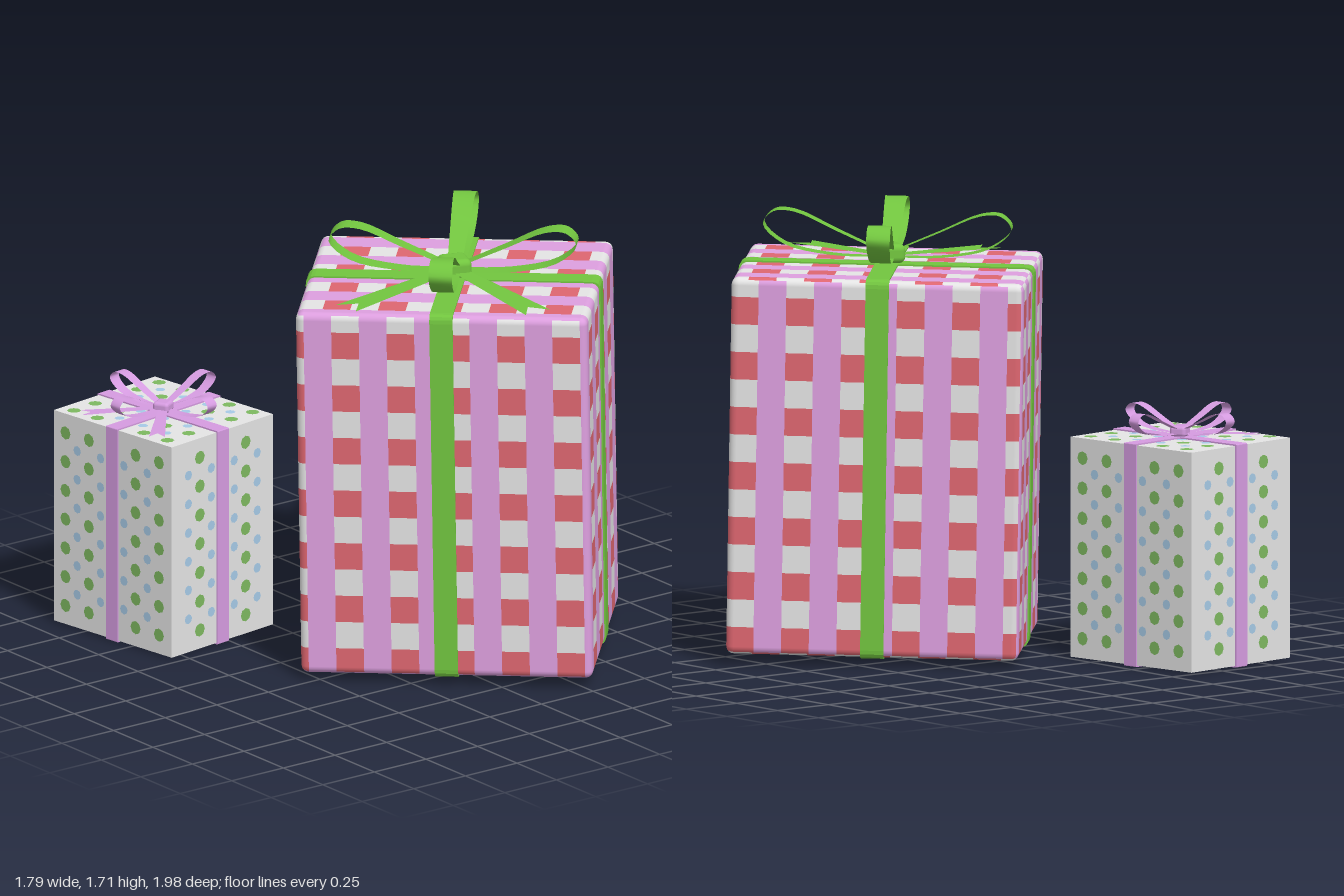
import * as THREE from 'three';
import { mergeGeometries } from 'three/addons/utils/BufferGeometryUtils.js';
import { RoundedBoxGeometry } from 'three/addons/geometries/RoundedBoxGeometry.js';

const mat = (name, color, side = THREE.FrontSide) => {
  const m = new THREE.MeshStandardMaterial({ color, side });
  m.name = name;
  return m;
};
const V = (x, y, z) => new THREE.Vector3(x, y, z);
const X = V(1, 0, 0), Y = V(0, 1, 0), Z = V(0, 0, 1);
const neg = v => v.clone().negate();

// The six sides of a box: across and up directions, outward normal,
// and where the plaid gaps (s0) and the coloured checks (t0) start
const SIDES = [
  { u: X, v: Y, n: Z, s0: 0.139, t0: 0 },
  { u: neg(Z), v: Y, n: X, s0: 0.06, t0: 0 },
  { u: neg(X), v: Y, n: neg(Z), s0: 0, t0: 0 },
  { u: Z, v: Y, n: neg(X), s0: 0.045, t0: 0 },
  { u: Z, v: X, n: Y, s0: 0.146, t0: 0.1 },
  { u: Z, v: neg(X), n: neg(Y), s0: 0.146, t0: 0.1 },
];
const CHECK = 0.107;

function add(parent, name, geometry, material) {
  const mesh = new THREE.Mesh(geometry, material);
  mesh.name = name;
  parent.add(mesh);
  return mesh;
}

// Grid lines across a side: check borders plus lines that round the edges
function gridLines(len, start, r) {
  const lines = [0, r * 0.3, r * 0.65, r, len - r, len - r * 0.65, len - r * 0.3, len];
  for (let s = start - 2 * CHECK; s < len; s += CHECK) if (s > 0) lines.push(s);
  return lines.sort((a, b) => a - b);
}
const inFirstHalf = (s, s0) => (((s - s0) / CHECK) % 2 + 2) % 2 < 1;

// Round-edged box whose faces follow the plaid grid, one mesh per colour
function plaidBox(size, r, materials) {
  const half = size.clone().multiplyScalar(0.5);
  const inner = half.clone().subScalar(r);
  const lists = materials.map(() => ({ pos: [], nor: [] }));
  for (const { u, v, n, s0, t0 } of SIDES) {
    const hu = Math.abs(u.dot(half)), hv = Math.abs(v.dot(half)), hn = Math.abs(n.dot(half));
    const us = gridLines(hu * 2, s0, r), vs = gridLines(hv * 2, t0, r);
    const corner = (s, t) => {
      const p = V(0, 0, 0).addScaledVector(u, s - hu).addScaledVector(v, t - hv).addScaledVector(n, hn);
      const core = p.clone().clamp(neg(inner), inner);
      const normal = p.sub(core).normalize();
      return { p: core.addScaledVector(normal, r), normal };
    };
    for (let i = 0; i < us.length - 1; i++) for (let j = 0; j < vs.length - 1; j++) {
      const [a, b, c, d] = [us[i], us[i + 1], vs[j], vs[j + 1]];
      if (b - a < 1e-5 || d - c < 1e-5) continue;
      const gap = inFirstHalf((a + b) / 2, s0), red = inFirstHalf((c + d) / 2, t0);
      const list = lists[!gap ? 0 : red ? 1 : 2];
      const q = [corner(a, c), corner(b, c), corner(b, d), corner(a, d)];
      for (const k of [0, 1, 2, 0, 2, 3]) {
        list.pos.push(...q[k].p.toArray());
        list.nor.push(...q[k].normal.toArray());
      }
    }
  }
  const group = new THREE.Group();
  group.name = 'plaidBox';
  lists.forEach(({ pos, nor }, i) => {
    const g = new THREE.BufferGeometry();
    g.setAttribute('position', new THREE.Float32BufferAttribute(pos, 3));
    g.setAttribute('normal', new THREE.Float32BufferAttribute(nor, 3));
    add(group, ['pinkStripes', 'redChecks', 'whiteChecks'][i], g, materials[i]);
  });
  return group;
}

// White box with staggered dots of two colours on every side
function dottedBox(size, paper, dotMats) {
  const group = new THREE.Group();
  group.name = 'dottedBox';
  add(group, 'paper', new THREE.BoxGeometry(size.x, size.y, size.z), paper);
  const half = size.clone().multiplyScalar(0.5);
  const sx = 0.126, sy = 0.117;
  dotMats.forEach((material, kind) => {
    const radius = kind ? 0.02 : 0.027, dots = [];
    for (const { u, v, n } of SIDES) {
      const hu = Math.abs(u.dot(half)), hv = Math.abs(v.dot(half)), hn = Math.abs(n.dot(half));
      const basis = new THREE.Matrix4().makeBasis(u, v, n);
      for (let i = -5; i <= 5; i++) for (let j = -5; j <= 5; j++) {
        const a = (i + kind / 2) * sx, b = (j + kind / 2) * sy;
        if (Math.abs(a) > hu - radius || Math.abs(b) > hv - radius) continue;
        dots.push(new THREE.CircleGeometry(radius, 8).translate(a, b, hn + 0.003).applyMatrix4(basis));
      }
    }
    add(group, kind ? 'blueDots' : 'greenDots', mergeGeometries(dots), material);
  });
  return group;
}

// Ribbon wrapped once around a box, following its rounded edges
function band(w, h, r, width) {
  const x = w / 2, y = h / 2, s = new THREE.Shape();
  s.moveTo(-x + r, -y);
  s.lineTo(x - r, -y); s.quadraticCurveTo(x, -y, x, -y + r);
  s.lineTo(x, y - r); s.quadraticCurveTo(x, y, x - r, y);
  s.lineTo(-x + r, y); s.quadraticCurveTo(-x, y, -x, y - r);
  s.lineTo(-x, -y + r); s.quadraticCurveTo(-x, -y, -x + r, -y);
  return new THREE.ExtrudeGeometry(s, { depth: width, bevelEnabled: false, curveSegments: 4 }).translate(0, 0, -width / 2);
}
function wrapping(size, r, width, material) {
  const group = new THREE.Group(), t = 0.012;
  group.name = 'wrappedRibbon';
  add(group, 'lengthwiseRibbon', band(size.x + t, size.y + t, r, width), material);
  add(group, 'crosswiseRibbon', band(size.z + t, size.y + t, r, width), material).rotation.y = Math.PI / 2;
  return group;
}

// One teardrop loop of ribbon, pointing along +x and narrowing at the knot
function loopGeometry() {
  const path = new THREE.CatmullRomCurve3([
    [0.02, 0.03], [0.22, 0.035], [0.4, 0.075], [0.48, 0.15], [0.44, 0.2], [0.36, 0.2], [0.2, 0.13], [0.02, 0.05],
  ].map(([x, y]) => V(x, y, 0)));
  const pos = [], idx = [], N = 28;
  for (let i = 0; i <= N; i++) {
    const p = path.getPoint(i / N), w = 0.028 + 0.018 * Math.sin(Math.PI * i / N);
    pos.push(p.x, p.y, w, p.x, p.y, -w);
    const k = i * 2;
    if (i < N) idx.push(k, k + 2, k + 1, k + 1, k + 2, k + 3);
  }
  const g = new THREE.BufferGeometry();
  g.setAttribute('position', new THREE.Float32BufferAttribute(pos, 3));
  g.setIndex(idx);
  g.computeVertexNormals();
  return g;
}

// Bow: four loops, two notched tails and a knot
function bow(material) {
  const group = new THREE.Group();
  group.name = 'bow';
  const loop = loopGeometry();
  for (let i = 0; i < 4; i++) add(group, 'bowLoop', loop, material).rotation.y = i * Math.PI / 2;
  const L = 0.58;
  const tail = new THREE.ShapeGeometry(new THREE.Shape(
    [[0, -0.028], [L, -0.056], [L - 0.07, 0], [L, 0.056], [0, 0.028]].map(p => new THREE.Vector2(...p)),
  )).rotateX(-Math.PI / 2);
  for (const deg of [50, 130]) {
    const m = add(group, 'bowTail', tail, material);
    m.position.y = 0.035;
    m.rotation.set(0, -THREE.MathUtils.degToRad(deg), -0.035);
  }
  const knot = add(group, 'bowKnot', new RoundedBoxGeometry(0.12, 0.075, 0.12, 3, 0.025), material);
  knot.position.y = 0.045;
  knot.rotation.y = 0.35;
  return group;
}

export function createModel() {
  const pink = mat('pinkPaper', 0xdd9fdf), red = mat('redPaper', 0xde6670), white = mat('whitePaper', 0xe4e4e4);
  const greenRibbon = mat('greenRibbon', 0x72c53f, THREE.DoubleSide);
  const lilacRibbon = mat('lilacRibbon', 0xd59be0, THREE.DoubleSide);
  const greenDot = mat('greenDot', 0x7db860), blueDot = mat('blueDot', 0xa6cae6);
  const model = new THREE.Group();
  model.name = 'gifts';

  // Large plaid gift, leaning very slightly
  const bigSize = V(1.13, 1.465, 0.955);
  const big = new THREE.Group();
  big.name = 'largeGift';
  big.add(plaidBox(bigSize, 0.03, [pink, red, white]), wrapping(bigSize, 0.035, 0.09, greenRibbon));
  const bigBow = bow(greenRibbon);
  bigBow.position.y = bigSize.y / 2;
  big.add(bigBow);
  big.position.set(0.16, 0.77, 0.255);
  big.rotation.set(-0.01, -0.76, 0.011, 'XZY');

  // Small dotted gift behind it
  const smallSize = V(0.556, 0.856, 0.636);
  const small = new THREE.Group();
  small.name = 'smallGift';
  small.add(dottedBox(smallSize, white, [greenDot, blueDot]), wrapping(smallSize, 0.004, 0.062, lilacRibbon));
  const smallBow = bow(lilacRibbon);
  smallBow.scale.setScalar(0.55);
  smallBow.position.y = smallSize.y / 2;
  smallBow.rotation.y = -Math.PI / 2;
  small.add(smallBow);
  small.position.set(-0.58, 0.434, -0.64);
  small.rotation.y = 0.143;

  model.add(big, small);
  return model;
}
